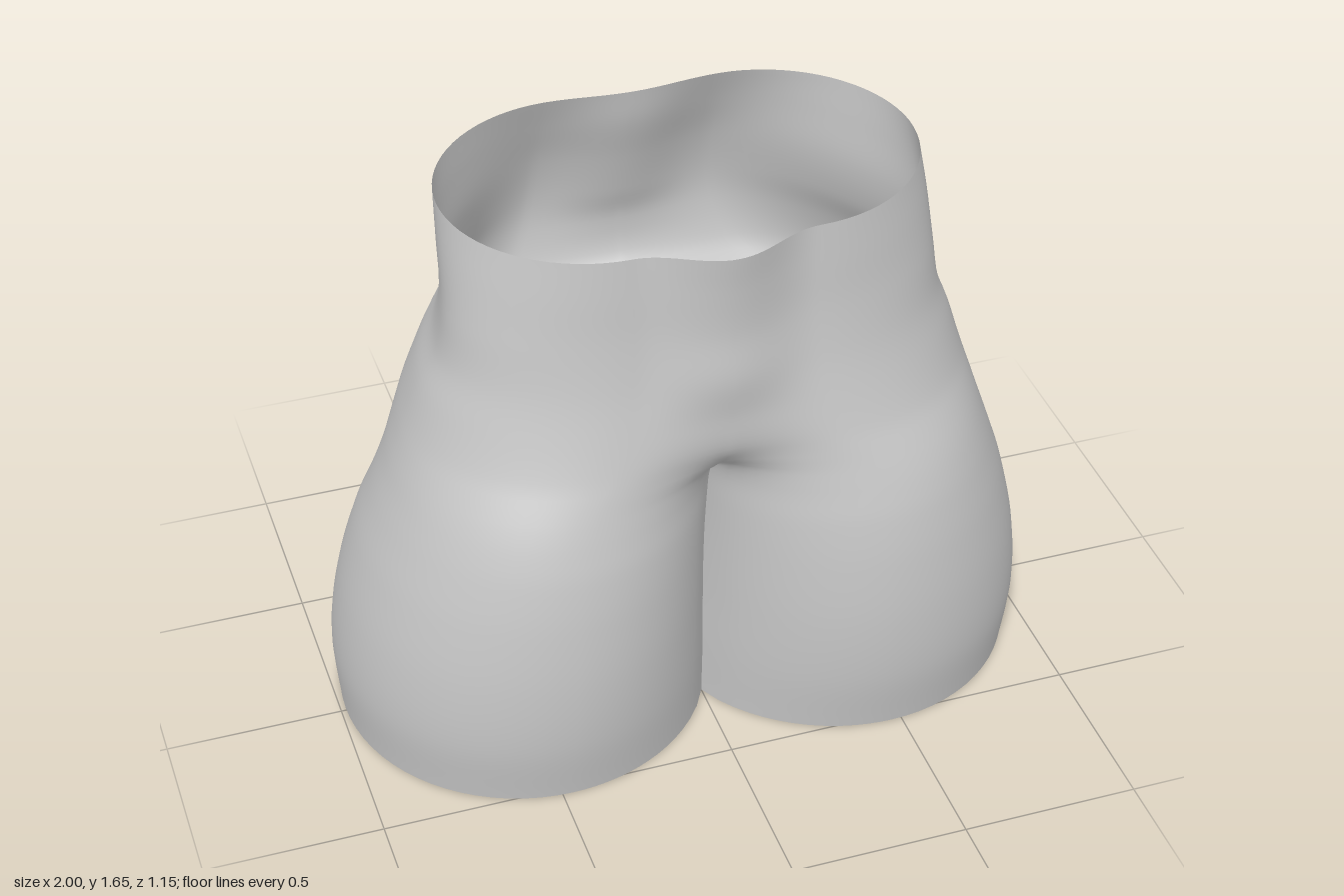
import * as THREE from 'three';
import { mergeVertices } from 'three/addons/utils/BufferGeometryUtils.js';

// Key sections: y, outer x, crest x, front z, front z at x=0, back z, back z at x=0,
// inner roundness, z of the widest point, fullness of the back corner
const SECTIONS = [
  [0.00, 0.985, 0.47, 0.525, 0.24, -0.560, -0.25, 1, -0.01, 2],
  [0.20, 0.998, 0.47, 0.562, 0.25, -0.570, -0.25, 1, 0, 2],
  [0.40, 0.975, 0.46, 0.575, 0.25, -0.535, -0.24, 1, 0.02, 2],
  [0.60, 0.925, 0.45, 0.568, 0.26, -0.470, -0.23, 1, 0.04, 2],
  [0.75, 0.873, 0.44, 0.550, 0.28, -0.412, -0.24, 1, 0.06, 1.95],
  [0.84, 0.840, 0.43, 0.530, 0.30, -0.412, -0.26, 1, 0.07, 1.9],
  [0.90, 0.820, 0.41, 0.514, 0.34, -0.435, -0.31, 0.95, 0.07, 1.85],
  [0.95, 0.803, 0.38, 0.500, 0.405, -0.470, -0.40, 0.7, 0.07, 1.8],
  [1.02, 0.780, 0.33, 0.482, 0.455, -0.508, -0.490, 0.1, 0.07, 1.75],
  [1.15, 0.736, 0.28, 0.457, 0.470, -0.530, -0.508, 0, 0.09, 1.65],
  [1.26, 0.690, 0.26, 0.440, 0.482, -0.522, -0.475, 0, 0.12, 1.6],
  [1.40, 0.668, 0.25, 0.427, 0.475, -0.484, -0.430, 0, 0.12, 1.6],
  [1.54, 0.658, 0.25, 0.422, 0.485, -0.425, -0.380, 0, 0.07, 1.75],
  [1.65, 0.648, 0.25, 0.418, 0.500, -0.375, -0.355, 0, 0.02, 1.95],
];
const CROTCH = 0.9;
const INNER = 14, ARC = 36, STRIP = 14;

// Smooth interpolation of all section values at a height
function sectionAt(y) {
  const S = SECTIONS, n = S.length;
  let i = 0;
  while (i < n - 2 && y > S[i + 1][0]) i++;
  const slope = (k, c) => {
    const a = S[Math.max(k - 1, 0)], b = S[Math.min(k + 1, n - 1)];
    return (b[c] - a[c]) / (b[0] - a[0]);
  };
  const h = S[i + 1][0] - S[i][0], t = (y - S[i][0]) / h, t2 = t * t, t3 = t2 * t;
  return S[i].map((v, c) => c === 0 ? y
    : (2 * t3 - 3 * t2 + 1) * v + (t3 - 2 * t2 + t) * h * slope(i, c)
      + (3 * t2 - 2 * t3) * S[i + 1][c] + (t3 - t2) * h * slope(i + 1, c));
}

// z between the thigh crest (s=0) and the middle of the body (s=1)
function innerZ(s, crest, mid, cz, round) {
  const soft = (1 - Math.cos(Math.PI * s)) / 2;
  const q = THREE.MathUtils.clamp((mid - cz) / (crest - cz), 0, 0.98);
  const circ = (1 - Math.sqrt(1 - (1 - q * q) * s * s)) / (1 - q);
  const r = THREE.MathUtils.clamp(round, 0, 1);
  return crest + (mid - crest) * (soft + (circ - soft) * r);
}

// Half outline: front middle, around the hip, to back middle
function outline(y) {
  const [, X, cx, zF, mF, zB, mB, round, cz, full] = sectionAt(y);
  const pts = [];
  const gap = y < CROTCH - 1e-6 ? 0.003 : 0; // keeps the thighs apart below the crotch
  for (let i = 0; i < INNER; i++) {
    const s = 1 - i / INNER;
    pts.push([Math.max(cx * (1 - s), gap), y, innerZ(s, zF, mF, cz, round)]);
  }
  for (let i = 0; i <= ARC; i++) {
    const a = Math.PI * (0.5 - i / ARC), sin = Math.sin(a), cos = Math.max(0, Math.cos(a));
    const e = sin < 0 ? 2 / full : 1;
    const depth = sin < 0 ? zB - cz : zF - cz;
    pts.push([cx + (X - cx) * Math.pow(cos, e), y, cz + depth * Math.pow(Math.abs(sin), e)]);
  }
  for (let i = 1; i <= INNER; i++) {
    const s = i / INNER;
    pts.push([Math.max(cx * (1 - s), gap), y, innerZ(s, zB, mB, cz, round)]);
  }
  return pts;
}

// Inner thigh strip: back middle to front middle, bulging past the centre plane
function innerThigh(y) {
  const o = outline(y), first = o[0], last = o[o.length - 1], pts = [];
  const bulge = 0.09 * Math.pow(Math.max(0, 1 - y / CROTCH), 0.6);
  for (let i = 0; i <= STRIP; i++) {
    const t = i / STRIP;
    pts.push([first[0] - bulge * Math.sin(Math.PI * t), y, last[2] + (first[2] - last[2]) * t]);
  }
  return pts;
}

function createShell() {
  const pos = [], idx = [];
  const addGrid = (rows, side) => {
    const base = pos.length / 3, n = rows[0].length;
    rows.forEach(r => r.forEach(([x, y, z]) => pos.push(x * side, y, z)));
    for (let j = 0; j < rows.length - 1; j++) for (let i = 0; i < n - 1; i++) {
      const a = base + j * n + i, b = a + 1, d = a + n, c = d + 1;
      if (side > 0) idx.push(a, b, c, a, c, d);
      else idx.push(a, c, b, a, d, c);
    }
  };
  const heights = (y0, y1, n) => Array.from({ length: n + 1 }, (_, i) => i === n ? y1 : y0 + (y1 - y0) * i / n);
  const leg = heights(0, CROTCH, 36), hips = heights(CROTCH, 1.65, 36);
  for (const side of [1, -1]) {
    addGrid([...leg, ...hips.slice(1)].map(outline), side);
    addGrid(leg.map(innerThigh), side);
  }
  const g = new THREE.BufferGeometry();
  g.setAttribute('position', new THREE.Float32BufferAttribute(pos, 3));
  g.setIndex(idx);
  const merged = mergeVertices(g, 1e-4);
  merged.computeVertexNormals();
  return merged;
}

export function createModel() {
  const group = new THREE.Group();
  group.name = 'shorts';
  const grey = new THREE.MeshStandardMaterial({ color: 0xc8c8c8, side: THREE.DoubleSide });
  grey.name = 'light grey';
  const shell = new THREE.Mesh(createShell(), grey);
  shell.name = 'hipsAndLegs';
  group.add(shell);
  return group;
}
